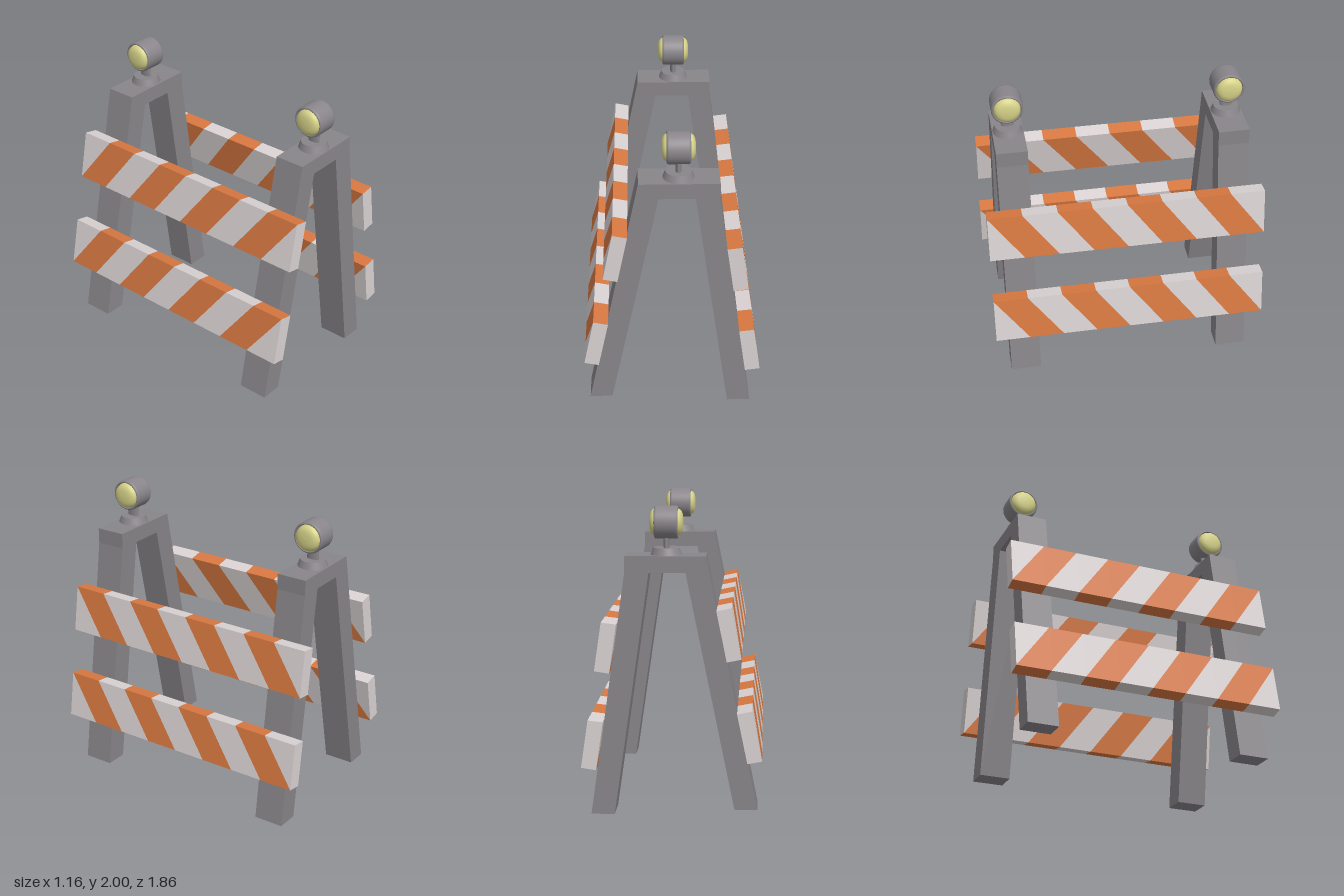
import * as THREE from 'three';

const mat = (name, color) => {
  const m = new THREE.MeshStandardMaterial({ color });
  m.name = name;
  return m;
};

export function createModel() {
  const grey = mat('grey plastic', 0x89858a);
  const white = mat('white stripe', 0xdad2d3);
  const orange = mat('orange stripe', 0xd87841);
  const yellow = mat('yellow lens', 0xd6d288);

  const model = new THREE.Group();
  model.name = 'barricade';
  const add = (parent, name, geometry, material) => {
    const mesh = new THREE.Mesh(geometry, material);
    mesh.name = name;
    parent.add(mesh);
    return mesh;
  };

  // A-shaped end frames; the left leg in the outline stops a little short
  const outline = new THREE.Shape([
    [-0.553, 0.045], [-0.405, 0.045], [-0.087, 1.585], [0.146, 1.585],
    [0.373, 0], [0.525, 0], [0.299, 1.585], [0.299, 1.69], [-0.214, 1.69],
  ].map(([x, y]) => new THREE.Vector2(x, y)));
  const frameGeometry = new THREE.ExtrudeGeometry(outline, { depth: 0.206, bevelEnabled: false });
  frameGeometry.translate(0, 0, -0.103);

  // Warning lamp parts
  const lathe = (points, segments = 40) =>
    new THREE.LatheGeometry(points.map(([r, y]) => new THREE.Vector2(r, y)), segments);
  const housingGeometry = lathe([
    [0.088, -0.064], [0.091, -0.075], [0.097, -0.075], [0.103, -0.07], [0.105, -0.06],
    [0.105, 0.06], [0.103, 0.07], [0.097, 0.075], [0.091, 0.075], [0.088, 0.064],
  ]);
  const lensGeometry = lathe([
    [0.089, 0.06], [0.087, 0.073], [0.081, 0.086], [0.069, 0.097], [0.05, 0.104], [0.026, 0.107], [0, 0.108],
  ]);
  const stemGeometry = new THREE.CylinderGeometry(0.042, 0.042, 0.09, 24);
  const baseGeometry = new THREE.CylinderGeometry(0.083, 0.1, 0.045, 40);

  for (const z of [0.732, -0.732]) {
    const end = z > 0 ? 'front' : 'back';
    add(model, `${end}Frame`, frameGeometry, grey).position.z = z;

    const lamp = new THREE.Group();
    lamp.name = `${end}Lamp`;
    lamp.position.set(0.04, 0, z);
    model.add(lamp);
    add(lamp, 'lampBase', baseGeometry, grey).position.y = 1.7125;
    const stem = add(lamp, 'lampStem', stemGeometry, grey);
    stem.position.y = 1.77;
    stem.scale.x = 0.47;

    // Drum lying along x with a domed lens on each side
    const head = new THREE.Group();
    head.name = 'lampHead';
    head.position.y = 1.895;
    head.rotation.z = -Math.PI / 2;
    lamp.add(head);
    add(head, 'lampHousing', housingGeometry, grey);
    add(head, 'leftLens', lensGeometry, yellow);
    add(head, 'rightLens', lensGeometry, yellow).rotation.x = Math.PI;
  }

  // Striped board: section corners run clockwise seen from +z:
  // top -x, top +x, bottom +x, bottom -x
  const half = 0.93, step = half / 4;
  const stripedBoard = (corners) => {
    const cuts = [[half, half]];
    for (let i = 0; i < 8; i++) {
      const top = half - i * step;
      cuts.push([top, Math.max(top - step, -half)]);
    }
    cuts.push([-half, -half]);
    const ring = ([top, bottom]) =>
      corners.map(([x, y], i) => new THREE.Vector3(x, y, i < 2 ? top : bottom));

    const positions = [];
    const geometry = new THREE.BufferGeometry();
    const triangle = (a, b, c) => {
      if (new THREE.Triangle(a, b, c).getArea() < 1e-7) return;
      for (const p of [a, b, c]) positions.push(p.x, p.y, p.z);
    };
    const quad = (a, b, c, d) => { triangle(a, b, c); triangle(a, c, d); };
    const group = (index, build) => {
      const start = positions.length / 3;
      build();
      geometry.addGroup(start, positions.length / 3 - start, index);
    };

    // Alternating slanted bands, then plain white ends
    for (let i = 0; i < cuts.length - 1; i++) {
      const a = ring(cuts[i]), b = ring(cuts[i + 1]);
      group(i % 2, () => {
        for (let k = 0; k < 4; k++) {
          const n = (k + 1) % 4;
          quad(a[k], a[n], b[n], b[k]);
        }
      });
    }
    group(0, () => {
      const f = ring(cuts[0]), b = ring(cuts[cuts.length - 1]);
      quad(f[3], f[2], f[1], f[0]);
      quad(b[0], b[1], b[2], b[3]);
    });
    geometry.setAttribute('position', new THREE.Float32BufferAttribute(positions, 3));
    geometry.computeVertexNormals();
    return geometry;
  };

  const boards = {
    rightUpperBoard: [[-0.38, 1.38], [-0.285, 1.36], [-0.352, 1.035], [-0.445, 1.055]],
    rightLowerBoard: [[-0.515, 0.722], [-0.419, 0.702], [-0.487, 0.378], [-0.581, 0.397]],
    leftUpperBoard: [[0.344, 1.269], [0.44, 1.281], [0.486, 0.968], [0.39, 0.954]],
    leftLowerBoard: [[0.434, 0.637], [0.531, 0.648], [0.577, 0.335], [0.48, 0.321]],
  };
  for (const [name, corners] of Object.entries(boards))
    add(model, name, stripedBoard(corners), [white, orange]);

  return model;
}
